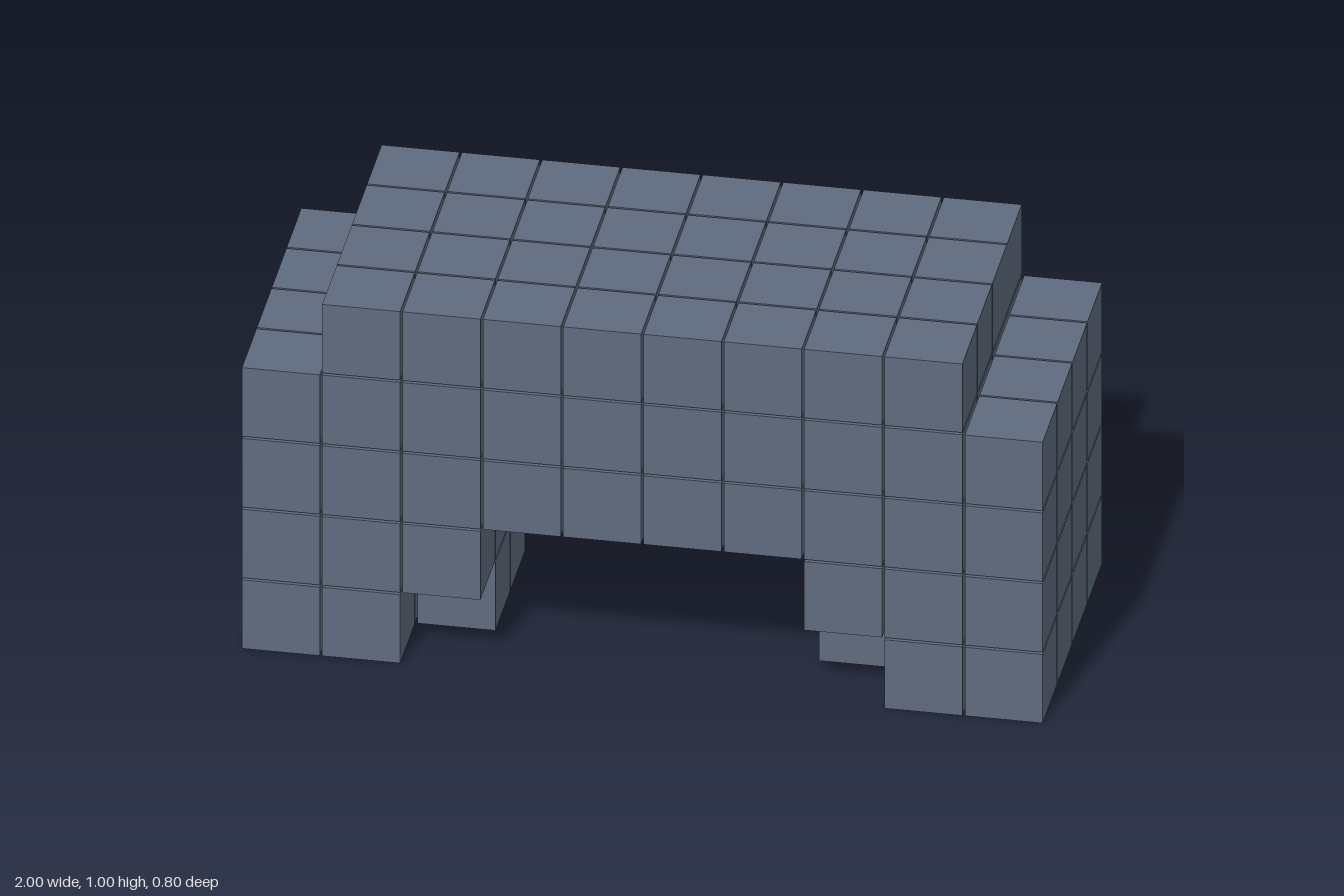
import * as THREE from 'three';
import { mergeGeometries } from 'three/addons/utils/BufferGeometryUtils.js';

// Cubes on a 10 x 5 x 4 lattice, separated by thin gaps
const PITCH = 2 / 9.97;
const CUBE = PITCH * 0.97;

const material = new THREE.MeshStandardMaterial({ color: 0x5f6b7e, flatShading: true });

// One mesh of cubes filling inclusive index ranges; each block is [x0, x1, y0, y1, z0, z1]
function cubes(name, blocks) {
  const boxes = [];
  for (const [x0, x1, y0, y1, z0, z1] of blocks)
    for (let x = x0; x <= x1; x++)
      for (let y = y0; y <= y1; y++)
        for (let z = z0; z <= z1; z++)
          boxes.push(new THREE.BoxGeometry(CUBE, CUBE, CUBE)
            .translate((x - 4.5) * PITCH, y * PITCH + CUBE / 2, (z - 1.5) * PITCH));
  const mesh = new THREE.Mesh(mergeGeometries(boxes), material);
  mesh.name = name;
  return mesh;
}

export function createModel() {
  const group = new THREE.Group();
  group.name = 'blockArch';

  // Top layer, one cube short at each end
  group.add(cubes('topSlab', [[1, 8, 4, 4, 0, 3]]));

  // Full-length span
  group.add(cubes('span', [[0, 9, 2, 3, 0, 3]]));

  // Piers: a full upper course, and a foot with its inner corners notched
  for (const side of ['right', 'left']) {
    const outer = side === 'left' ? 8 : 0;
    const inner = side === 'left' ? 7 : 2;
    const start = Math.min(outer, inner);
    group.add(cubes(side + 'Pier', [[start, start + 2, 1, 1, 0, 3]]));
    group.add(cubes(side + 'Foot', [
      [outer, outer + 1, 0, 0, 0, 3],
      [inner, inner, 0, 0, 1, 2],
    ]));
  }
  return group;
}
